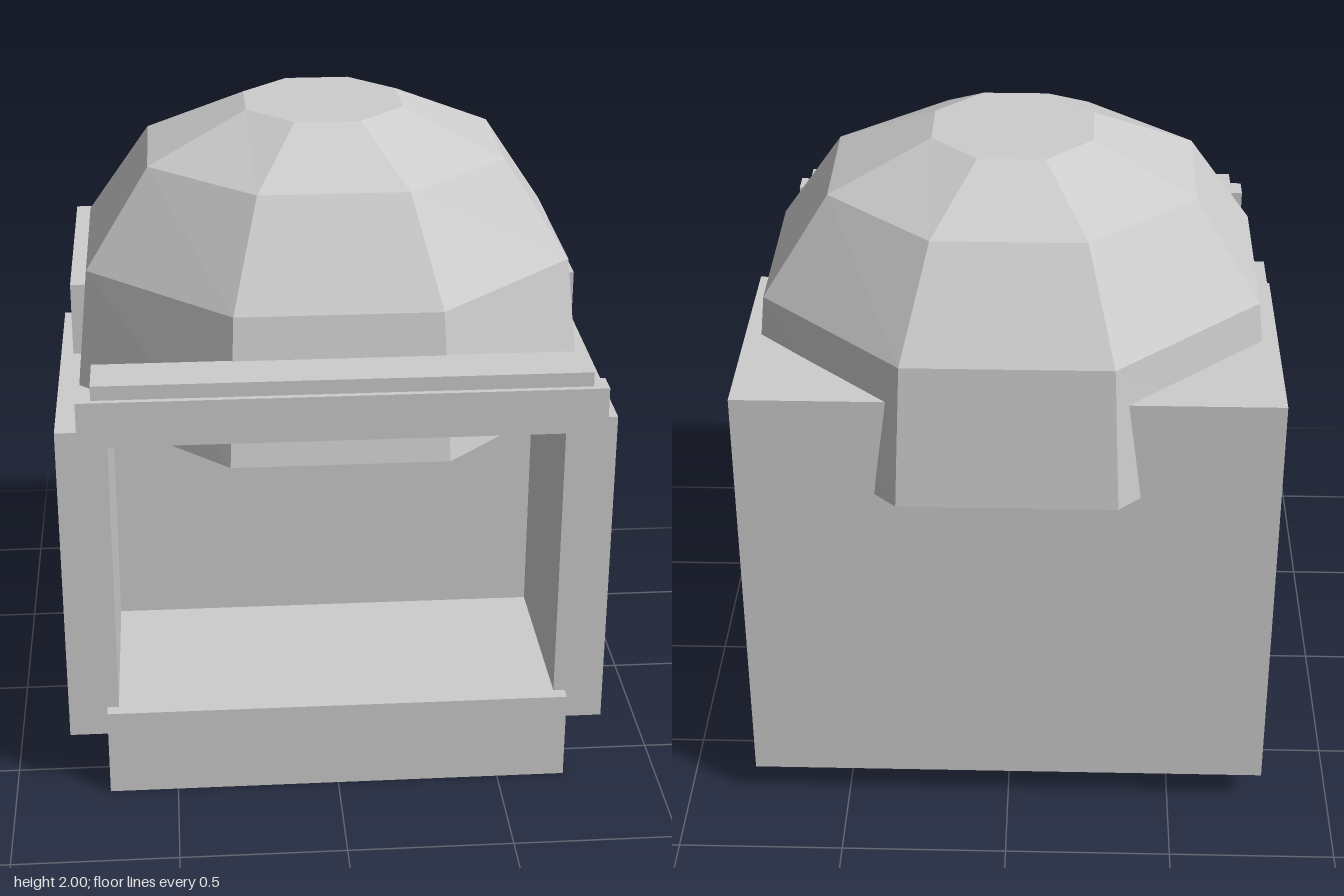
import * as THREE from 'three';

const grey = new THREE.MeshStandardMaterial({ color: 0xcccccc, flatShading: true });
grey.name = 'plain grey';

// Box given by its extents on each axis
function block(name, [x0, x1], [y0, y1], [z0, z1]) {
  const mesh = new THREE.Mesh(new THREE.BoxGeometry(x1 - x0, y1 - y0, z1 - z0), grey);
  mesh.position.set((x0 + x1) / 2, (y0 + y1) / 2, (z0 + z1) / 2);
  mesh.name = name;
  return mesh;
}

// Closed eight-sided dome built from stacked octagons: [y, half width, half depth, centre z]
function domeGeometry(rings) {
  const sides = 8, c = Math.cos(Math.PI / sides), positions = [];
  const point = ([y, hx, hz, cz], k) => {
    const a = (k + 0.5) * 2 * Math.PI / sides;
    return [hx / c * Math.cos(a), y, cz + hz / c * Math.sin(a)];
  };
  const tri = (...pts) => pts.forEach(p => positions.push(...p));
  const bottom = rings[0], top = rings[rings.length - 1];
  for (let k = 0; k < sides; k++) {
    for (let i = 0; i < rings.length - 1; i++) {
      const a = point(rings[i], k), b = point(rings[i + 1], k);
      const d = point(rings[i], k + 1), e = point(rings[i + 1], k + 1);
      tri(a, b, e);
      tri(a, e, d);
    }
    tri([0, top[0], top[3]], point(top, k + 1), point(top, k));
    tri([0, bottom[0], bottom[3]], point(bottom, k), point(bottom, k + 1));
  }
  const geometry = new THREE.BufferGeometry();
  geometry.setAttribute('position', new THREE.Float32BufferAttribute(positions, 3));
  geometry.computeVertexNormals();
  return geometry;
}

export function createModel() {
  const model = new THREE.Group();
  model.name = 'domedCabinet';

  // Body, base step and side panels
  model.add(block('rearBody', [-0.79, 0.79], [0.105, 1.443], [-0.75, 0]));
  model.add(block('base', [-0.71, 0.71], [0, 0.28], [-0.23, 0.638]));
  model.add(block('leftPanel', [0.675, 0.828], [0.185, 1.212], [-0.353, 0.597]));
  model.add(block('rightPanel', [-0.828, -0.675], [0.185, 1.212], [-0.353, 0.597]));

  // Front crossbar with a slimmer rail set into its face
  model.add(block('crossbar', [-0.71, 0.71], [1.255, 1.443], [0.638, 0.795]));
  model.add(block('frontRail', [-0.753, 0.753], [1.3, 1.4], [0.737, 0.813]));

  // Dome
  const dome = new THREE.Mesh(domeGeometry([
    [1.133, 0.772, 0.757, -0.057],
    [1.568, 0.73, 0.697, -0.077],
    [1.863, 0.537, 0.497, -0.077],
    [2, 0.237, 0.24, -0.08],
  ]), grey);
  dome.name = 'dome';
  model.add(dome);

  return model;
}
